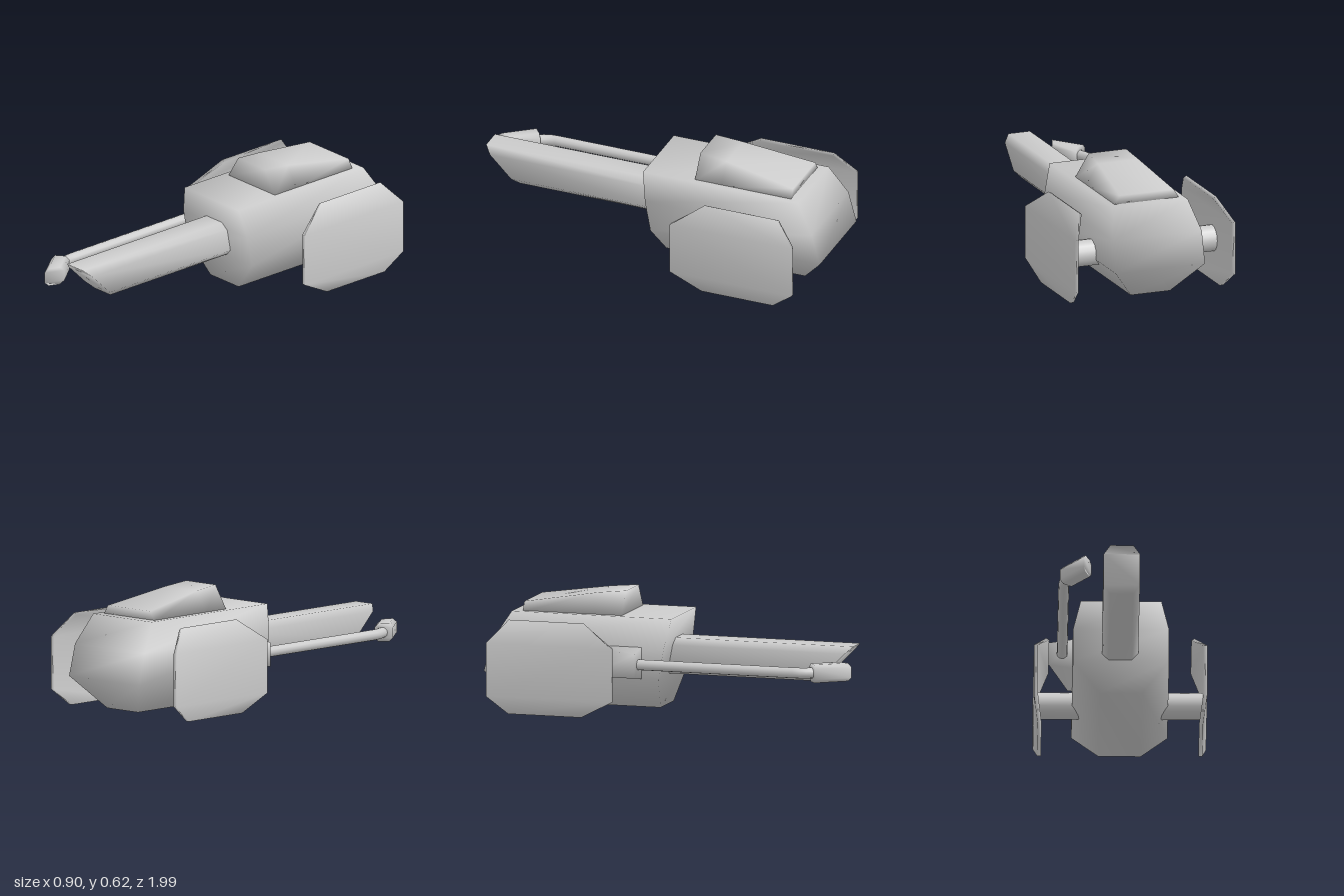
import * as THREE from 'three';

const material = new THREE.MeshStandardMaterial({ color: 0xcccccc });

// Closed solid through rings of equal, even point count; end caps are strips
// across the ring. Winding is flipped if needed so faces point outward.
function loft(rings) {
  const n = rings[0].length, index = [];
  const quad = (a, b, c, d) => index.push(a, b, c, a, c, d);
  for (let r = 0; r < rings.length - 1; r++) {
    for (let i = 0; i < n; i++) {
      const j = (i + 1) % n;
      quad(r * n + i, r * n + j, (r + 1) * n + j, (r + 1) * n + i);
    }
  }
  const e = (rings.length - 1) * n;
  for (let i = 0; i < n / 2 - 1; i++) {
    quad(n - 1 - i, n - 2 - i, i + 1, i);
    quad(e + i, e + i + 1, e + n - 2 - i, e + n - 1 - i);
  }
  const v = rings.flat().map(p => new THREE.Vector3(...p));
  let volume = 0;
  for (let k = 0; k < index.length; k += 3) {
    volume += v[index[k]].dot(v[index[k + 1]].clone().cross(v[index[k + 2]]));
  }
  if (volume < 0) index.reverse();
  const geo = new THREE.BufferGeometry().setFromPoints(v);
  geo.setIndex(index);
  geo.computeVertexNormals();
  return geo;
}

// Symmetric outline: right half listed bottom to top, then mirrored back down
const mirrored = half => [...half, ...half.map(([x, y]) => [-x, y]).reverse()];

// Square with cut corners
const chamfered = (h, c) => mirrored([[h - c, -h], [h, c - h], [h, h - c], [h - c, h]]);

export function createModel() {
  const model = new THREE.Group();
  const add = (name, geometry, parent = model) => {
    const mesh = new THREE.Mesh(geometry, material);
    mesh.name = name;
    parent.add(mesh);
    return mesh;
  };

  // Main body: raked front, angular rear
  const hull = mirrored([[0.11, 0.02], [0.25, 0.19], [0.25, 0.355], [0.21, 0.505]]);
  const rearZ = { 0.02: -0.86, 0.19: -1, 0.355: -0.955, 0.505: -0.86 };
  add('body', loft([
    hull.map(([x, y]) => [x, y, 0.01 - (0.505 - y) * 0.186]),
    hull.map(([x, y]) => [x, y, rearZ[y]]),
  ]));

  // Raised roof, falling to the rear
  add('canopy', loft([[-0.27, 0.625, 0.105], [-0.42, 0.61, 0.114], [-0.81, 0.55, 0.152]].map(
    ([z, top, w]) => mirrored([[0.183, 0.5], [w, top]]).map(([x, y]) => [x, y, z]))));

  // Main barrel with a slanted muzzle
  const bore = chamfered(0.095, 0.035).map(([x, y]) => [x - 0.005, y + 0.29]);
  add('barrel', loft([
    bore.map(([x, y]) => [x, y, -0.1]),
    bore.map(([x, y]) => [x, y, 0.955 - (0.385 - y)]),
  ]));

  // Wedge-shaped bracket on the right flank
  const wedge = [[-0.2, -0.425], [-0.275, -0.425], [-0.375, -0.14], [-0.2, -0.14]];
  add('pipeBracket', loft([-1, 1].map(s => wedge.map(
    ([x, z]) => [x, 0.2725 + s * (0.0625 + 0.16 * (x + 0.375)), z]))));

  // Slim pipe with a bent tip
  const pipe = new THREE.CurvePath();
  const pts = [[-0.305, -0.2], [-0.305, 0.72], [-0.303, 0.76], [-0.265, 0.83]]
    .map(([x, z]) => new THREE.Vector3(x, 0.2725, z));
  pipe.add(new THREE.LineCurve3(pts[0], pts[1]));
  pipe.add(new THREE.QuadraticBezierCurve3(pts[1], pts[2], pts[3]));
  add('pipe', new THREE.TubeGeometry(pipe, 32, 0.028, 12));

  // Angled nozzle, cut obliquely at the end
  const tip = chamfered(0.0475, 0.02);
  const nozzle = add('nozzle', loft([
    tip.map(([x, y]) => [x, y, 0]),
    tip.map(([x, y]) => [x, y, 0.171 - x * 0.6]),
  ]));
  nozzle.position.set(-0.2875, 0.2725, 0.805);
  nozzle.rotation.y = Math.atan2(0.61, 0.79);

  // Side plates on round struts; stations: y, outer x, rear z, front z
  const stations = [
    [0, 0.43, -0.81, -0.41], [0.09, 0.45, -0.925, -0.24],
    [0.37, 0.45, -0.925, -0.24], [0.488, 0.386, -0.82, -0.41],
  ];
  for (const s of [1, -1]) {
    const side = new THREE.Group();
    side.name = s > 0 ? 'leftSidePod' : 'rightSidePod';
    model.add(side);
    add('plate', loft(stations.map(([y, x, z0, z1], i) => {
      const inner = i === 3 ? [x - 0.017, y - 0.01] : [x - 0.021, y];
      return [[s * x, y, z0], [s * x, y, z1],
        [s * inner[0], inner[1], z1], [s * inner[0], inner[1], z0]];
    })), side);
    const strut = add('strut', new THREE.CylinderGeometry(0.07, 0.07, 0.25, 16), side);
    strut.rotation.z = Math.PI / 2;
    strut.position.set(s * 0.313, 0.215, -0.66);
  }
  return model;
}
